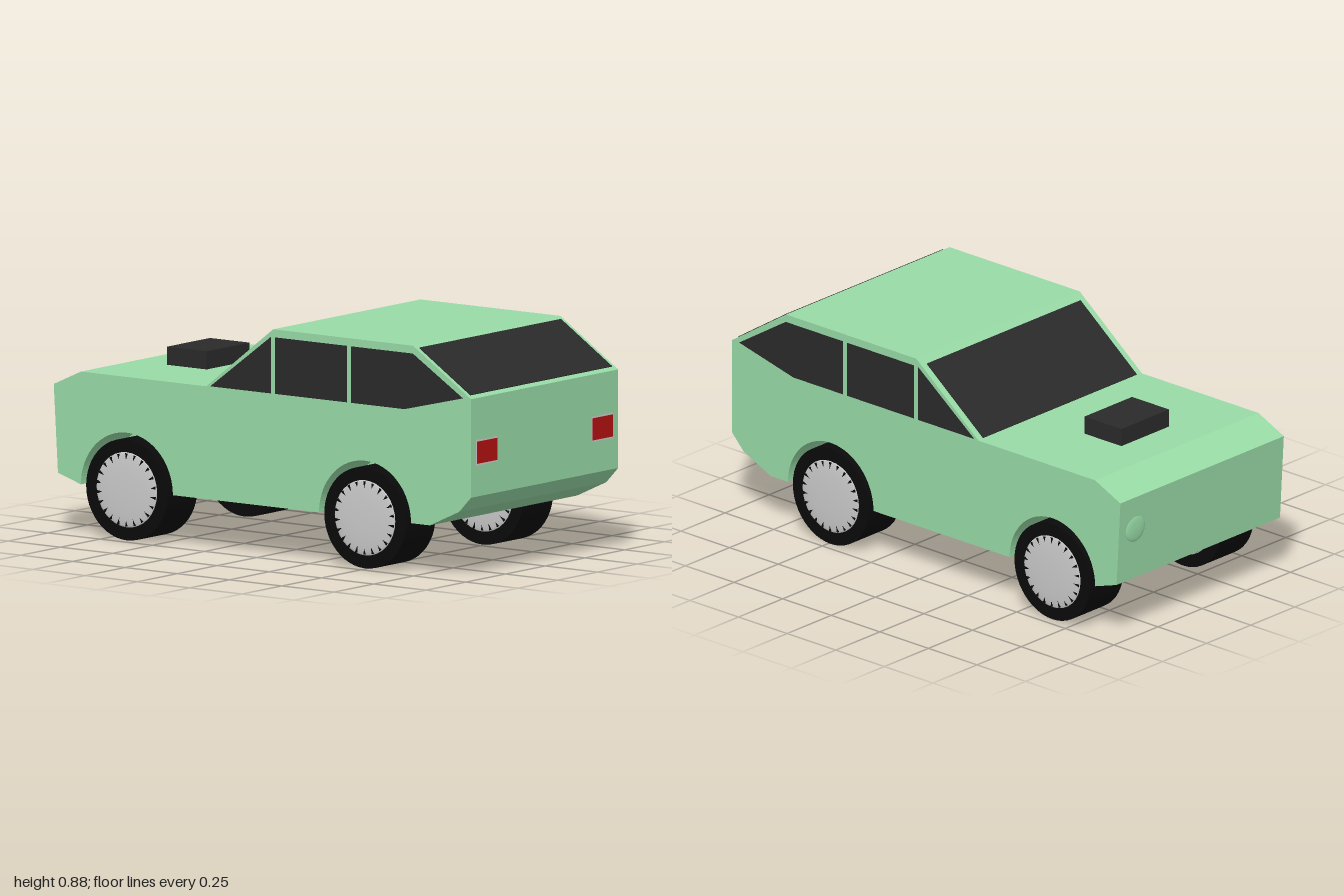
import * as THREE from 'three';
import { mergeGeometries } from 'three/addons/utils/BufferGeometryUtils.js';

const mat = (color, side = THREE.FrontSide) =>
  new THREE.MeshStandardMaterial({ color, side });
const paint = mat(0x98dba6);
const glass = mat(0x2a2a2a, THREE.DoubleSide);
const rubber = mat(0x0a0a0a);
const metal = mat(0xcccccc);
const red = mat(0xb51010);

const HALF = 0.463;      // half body width
const INNER = 0.255;     // inner wall of the wheel wells
const ARCH = 0.22;
const AXLES = [-0.65, 0.49];
const WHEEL_Y = 0.195;

function add(parent, name, geometry, material, x = 0, y = 0, z = 0) {
  const mesh = new THREE.Mesh(geometry, material);
  mesh.name = name;
  mesh.position.set(x, y, z);
  parent.add(mesh);
  return mesh;
}

const polygon = (points) => new THREE.Shape(points.map(([x, y]) => new THREE.Vector2(x, y)));

// Side outline of the car, with or without the wheel arches
function bodyShape(arches) {
  const s = new THREE.Shape();
  s.moveTo(-0.98, 0.23);
  s.lineTo(-0.87, WHEEL_Y);
  if (arches) {
    for (const x of AXLES) {
      s.lineTo(x - ARCH, WHEEL_Y);
      s.absarc(x, WHEEL_Y, ARCH, Math.PI, 0, true);
    }
  }
  const rest = [[0.8, WHEEL_Y], [0.94, 0.26], [0.997, 0.32], [0.997, 0.7],
    [0.72, 0.88], [0.05, 0.88], [-0.27, 0.63], [-0.87, 0.63], [-1, 0.57]];
  rest.forEach(([x, y]) => s.lineTo(x, y));
  s.closePath();
  return s;
}

const slab = (shape, depth) =>
  new THREE.ExtrudeGeometry(shape, { depth, bevelEnabled: false, curveSegments: 24 });

// Flat pane lying on a slope that runs from a to b in the side outline
function slopedPane(parent, name, a, b, halfWidth, lift) {
  const dx = b[0] - a[0], dy = b[1] - a[1];
  const length = Math.hypot(dx, dy);
  const pane = add(parent, name, new THREE.BoxGeometry(length, 0.004, halfWidth * 2), glass,
    (a[0] + b[0]) / 2 - (dy / length) * lift,
    (a[1] + b[1]) / 2 + (dx / length) * lift, 0);
  pane.rotation.z = Math.atan2(dy, dx);
}

// Tapered dark slots around the rim of a hub
function slotGeometry() {
  const slots = [];
  for (let i = 0; i < 22; i++) {
    const g = new THREE.ConeGeometry(0.006, i % 2 ? 0.035 : 0.05, 4);
    g.rotateZ(Math.PI);
    g.translate(0, i % 2 ? 0.123 : 0.116, 0);
    g.rotateZ((i / 22) * Math.PI * 2);
    slots.push(g);
  }
  return mergeGeometries(slots);
}

export function createModel() {
  const car = new THREE.Group();
  car.name = 'car';

  // Body: solid core with an arched slab on each side
  const body = new THREE.Group();
  body.name = 'body';
  car.add(body);
  add(body, 'bodyCore', slab(bodyShape(false), INNER * 2), paint, 0, 0, -INNER);
  const sideGeo = slab(bodyShape(true), HALF - INNER);
  add(body, 'bodySideLeft', sideGeo, paint, 0, 0, INNER);
  add(body, 'bodySideRight', sideGeo, paint, 0, 0, -HALF);

  // Windows
  const windows = new THREE.Group();
  windows.name = 'windows';
  car.add(windows);
  const panes = {
    frontQuarterWindow: [[-0.25, 0.632], [0.04, 0.632], [0.04, 0.85]],
    doorWindow: [[0.06, 0.632], [0.405, 0.632], [0.405, 0.85], [0.06, 0.85]],
    rearQuarterWindow: [[0.425, 0.632], [0.68, 0.632], [0.96, 0.7], [0.72, 0.85], [0.425, 0.85]],
  };
  for (const [name, points] of Object.entries(panes)) {
    const geo = new THREE.ShapeGeometry(polygon(points));
    for (const side of [1, -1]) add(windows, name, geo, glass, 0, 0, side * (HALF + 0.0015));
  }
  slopedPane(windows, 'windshield', [-0.268, 0.632], [0.022, 0.858], 0.435, 0.001);
  slopedPane(windows, 'rearWindow', [0.735, 0.87], [0.98, 0.711], 0.445, 0.001);

  // Hood scoop
  add(car, 'hoodScoop', new THREE.BoxGeometry(0.19, 0.08, 0.27), glass, -0.615, 0.66, -0.003);

  // Tail lights in pale frames
  for (const side of [1, -1]) {
    add(car, 'tailLightFrame', new THREE.BoxGeometry(0.008, 0.098, 0.136), metal, 0.994, 0.489, side * 0.362);
    add(car, 'tailLight', new THREE.BoxGeometry(0.01, 0.085, 0.126), red, 0.995, 0.489, side * 0.362);
  }

  // Shallow headlight on the nose
  const lamp = add(car, 'headlight', new THREE.SphereGeometry(0.055, 24, 12), paint, -0.991, 0.44, -0.37);
  lamp.scale.x = 0.16;

  // Wheels: tyre, bulging hub on both faces, dark slots
  const tyreGeo = new THREE.CylinderGeometry(0.195, 0.195, 0.187, 48).rotateX(Math.PI / 2);
  const hubGeo = new THREE.SphereGeometry(0.145, 32, 16).scale(1, 1, 0.065);
  const slotGeo = slotGeometry();
  for (const x of AXLES) {
    for (const side of [1, -1]) {
      const wheel = new THREE.Group();
      wheel.name = 'wheel';
      wheel.position.set(x, WHEEL_Y, side * 0.3695);
      add(wheel, 'tyre', tyreGeo, rubber);
      for (const face of [1, -1]) {
        add(wheel, 'hub', hubGeo, metal, 0, 0, face * 0.0935);
        add(wheel, 'hubSlots', slotGeo, rubber, 0, 0, face * 0.0965);
      }
      car.add(wheel);
    }
  }
  return car;
}
